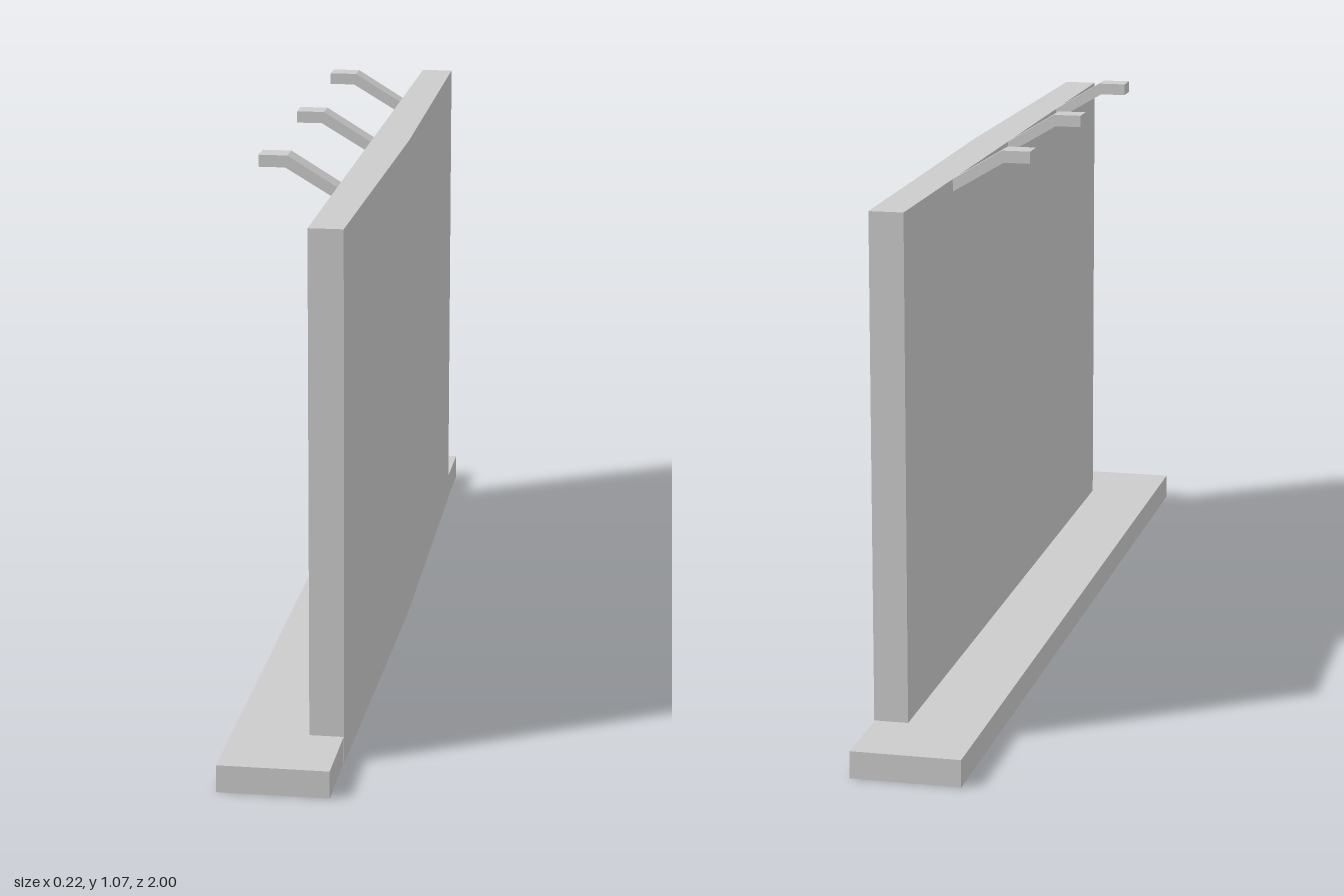
import * as THREE from 'three';

const material = new THREE.MeshStandardMaterial({ color: 0xcccccc, flatShading: true });

// Extrudes a list of [x, y] points to a depth centred on z = 0.
function prism(points, depth) {
  const shape = new THREE.Shape(points.map(([x, y]) => new THREE.Vector2(x, y)));
  return new THREE.ExtrudeGeometry(shape, { depth, bevelEnabled: false }).translate(0, 0, -depth / 2);
}

function addMesh(parent, name, geometry) {
  const mesh = new THREE.Mesh(geometry, material);
  mesh.name = name;
  parent.add(mesh);
  return mesh;
}

export function createModel() {
  const model = new THREE.Group();
  model.name = 'panelStand';

  // Long flat foot
  addMesh(model, 'base', new THREE.BoxGeometry(0.208, 0.052, 2).translate(-0.003, 0.026, 0));

  // Upright panel, its outer face folded slightly outwards along the middle
  const height = 1.012;
  const panel = prism([[0.037, 0.83], [0.037, -0.83], [0.102, -0.83], [0.112, 0], [0.102, 0.83]], height);
  panel.rotateX(-Math.PI / 2).translate(0, height / 2, 0);
  addMesh(model, 'panel', panel);

  // Three bent hooks along the top of the inner face
  const hook = prism([
    [0.037, 0.988], [0.037, 1.012], [-0.058, 1.07],
    [-0.113, 1.07], [-0.113, 1.047], [-0.062, 1.047],
  ], 0.049);
  const hooks = new THREE.Group();
  hooks.name = 'hooks';
  for (const z of [-0.45, 0, 0.45]) addMesh(hooks, 'hook', hook).position.z = z;
  model.add(hooks);

  return model;
}
